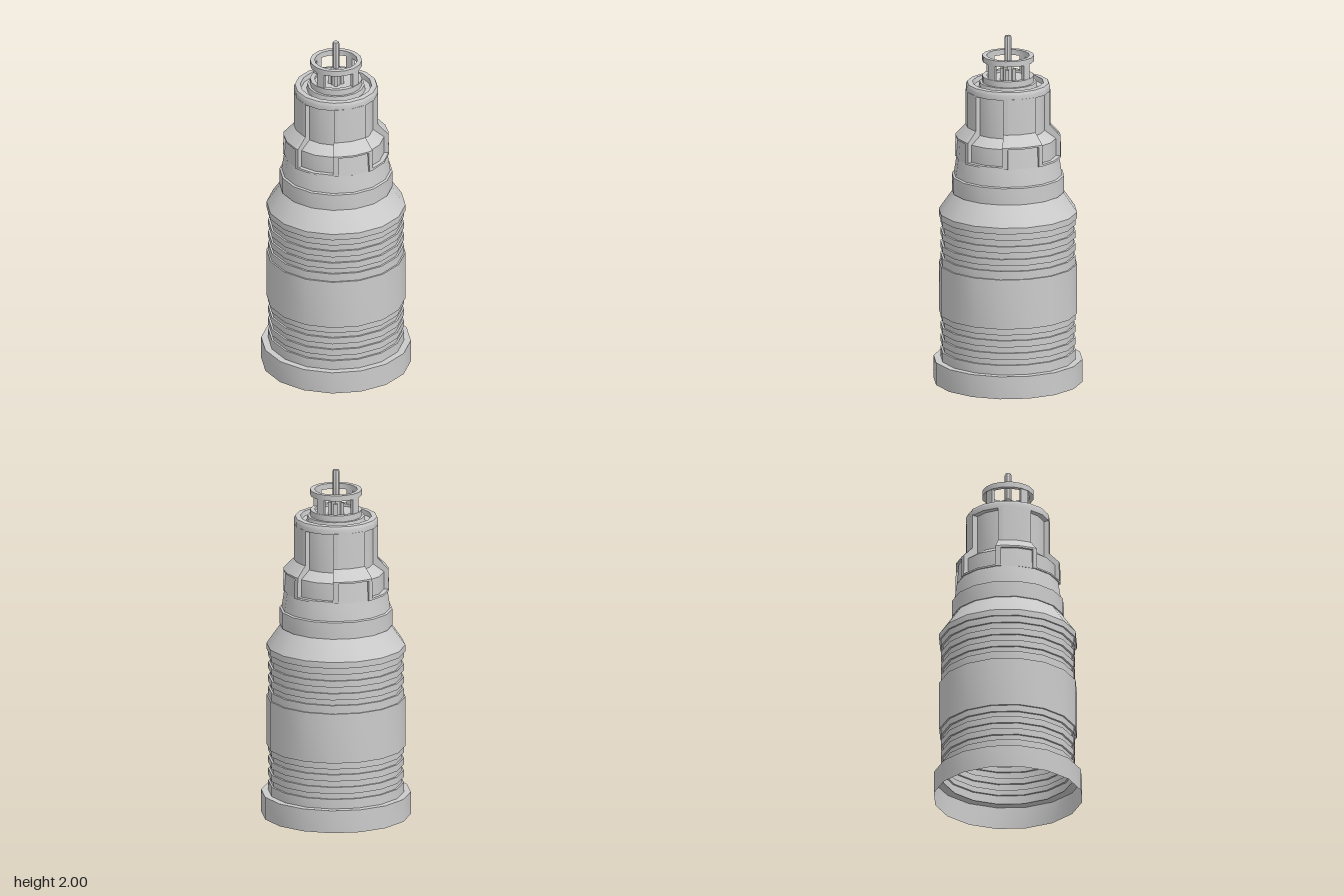
import * as THREE from 'three';
import { toCreasedNormals } from 'three/addons/utils/BufferGeometryUtils.js';

const DEG = Math.PI / 180;
const SIDES = 16;
const grey = new THREE.MeshStandardMaterial({ color: 0xcccccc, side: THREE.DoubleSide });

function add(parent, name, geometry) {
  const mesh = new THREE.Mesh(toCreasedNormals(geometry, 0.5), grey);
  mesh.name = name;
  parent.add(mesh);
  return mesh;
}

const toPoints = (profile) => profile.map(([r, y]) => new THREE.Vector2(r, y));

// Full turned part from [radius, height] pairs, listed bottom to top
function turned(parent, name, profile, sides = SIDES) {
  return add(parent, name, new THREE.LatheGeometry(toPoints(profile), sides));
}

// Closed ring sector between two angles (measured from +z towards +x), with end walls
function sector(parent, name, profile, from, to, segments) {
  const group = new THREE.Group();
  group.name = name;
  parent.add(group);
  const points = toPoints(profile);
  const ring = new THREE.LatheGeometry([...points, points[0].clone()], segments, from * DEG, (to - from) * DEG);
  add(group, name + 'Ring', ring);
  for (const angle of [from, to]) {
    const wall = new THREE.ShapeGeometry(new THREE.Shape(points));
    wall.rotateY(angle * DEG - Math.PI / 2);
    add(group, name + 'EndWall', wall);
  }
}

// Stack of square ribs alternating between two radii
function ribs(heights) {
  const profile = [];
  for (let i = 0; i < heights.length - 1; i++) {
    const r = i % 2 ? 0.37 : 0.381;
    profile.push([r, heights[i]], [r, heights[i + 1]]);
  }
  return profile;
}

export function createModel() {
  const model = new THREE.Group();
  model.name = 'tower';

  // Open foot ring and ribbed barrel
  turned(model, 'footRing', [[0.42, 0], [0.42, 0.13], [0.37, 0.13]]);
  turned(model, 'barrel', [
    ...ribs([0.13, 0.185, 0.217, 0.255, 0.29, 0.328, 0.36, 0.397]),
    [0.39, 0.397], [0.39, 0.684],
    ...ribs([0.684, 0.731, 0.763, 0.8, 0.837, 0.874, 0.911, 0.949]),
    [0.39, 0.949], [0.39, 0.985],
  ]);

  // Sloping shoulder and collar
  turned(model, 'shoulder', [
    [0.39, 0.985], [0.31, 1.1], [0.317, 1.1], [0.317, 1.195], [0.305, 1.2], [0.29, 1.3],
  ]);

  // Recessed inner wall seen inside the alcoves
  turned(model, 'innerWall', [
    [0.29, 1.3], [0.27, 1.31], [0.27, 1.41], [0.207, 1.455], [0.207, 1.69],
  ]);

  // Four alcoves, each framed by raised armour that hangs lower at its margins
  const upper = [[0.295, 1.425], [0.237, 1.485], [0.237, 1.69], [0.2, 1.69], [0.2, 1.45], [0.26, 1.41]];
  const bridge = [[0.26, 1.3], [0.29, 1.3], [0.281, 1.415], [0.295, 1.415], ...upper];
  const margin = [[0.26, 1.3], [0.297, 1.3], ...upper];
  const sill = [[0.26, 1.3], [0.297, 1.3], [0.295, 1.31], [0.26, 1.31]];
  for (let i = 0; i < 4; i++) {
    const a = i * 90;
    sector(model, 'alcoveSill', sill, a + 2, a + 45, 2);
    sector(model, 'alcoveFrame', margin, a + 45, a + 51, 1);
    sector(model, 'armourPanel', bridge, a + 51, a + 87, 2);
    sector(model, 'alcoveFrame', margin, a + 87, a + 92, 1);
  }

  // Cap with a grooved top
  turned(model, 'cap', [
    [0.2, 1.685], [0.237, 1.685], [0.237, 1.715], [0.23, 1.73], [0.2, 1.732],
    [0.196, 1.705], [0.165, 1.705], [0.16, 1.735], [0.146, 1.735],
  ]);

  // Lantern: dished base, four posts and top ring
  turned(model, 'lanternBase', [
    [0.146, 1.735], [0.146, 1.77], [0.12, 1.77], [0.12, 1.755], [0, 1.735],
  ]);
  const ring = [[0.12, 1.855], [0.146, 1.855], [0.146, 1.887], [0.12, 1.887], [0.12, 1.855]];
  turned(model, 'lanternRing', ring);
  const post = [[0.122, 1.765], [0.142, 1.765], [0.142, 1.86], [0.122, 1.86]];
  for (let i = 0; i < 4; i++) sector(model, 'lanternPost', post, i * 90, i * 90 + 20, 1);

  // Central mast with collar and four diagonal fins
  turned(model, 'mastCollar', [[0.032, 1.735], [0.032, 1.83], [0.02, 1.84]], 8);
  turned(model, 'mast', [[0.02, 1.83], [0.02, 1.99], [0.016, 2], [0, 2]], 8);
  for (let i = 0; i < 4; i++) {
    const fin = new THREE.BoxGeometry(0.02, 0.07, 0.022);
    fin.translate(0, 1.775, 0.034);
    fin.rotateY((45 + i * 90) * DEG);
    add(model, 'mastFin', fin);
  }

  return model;
}
